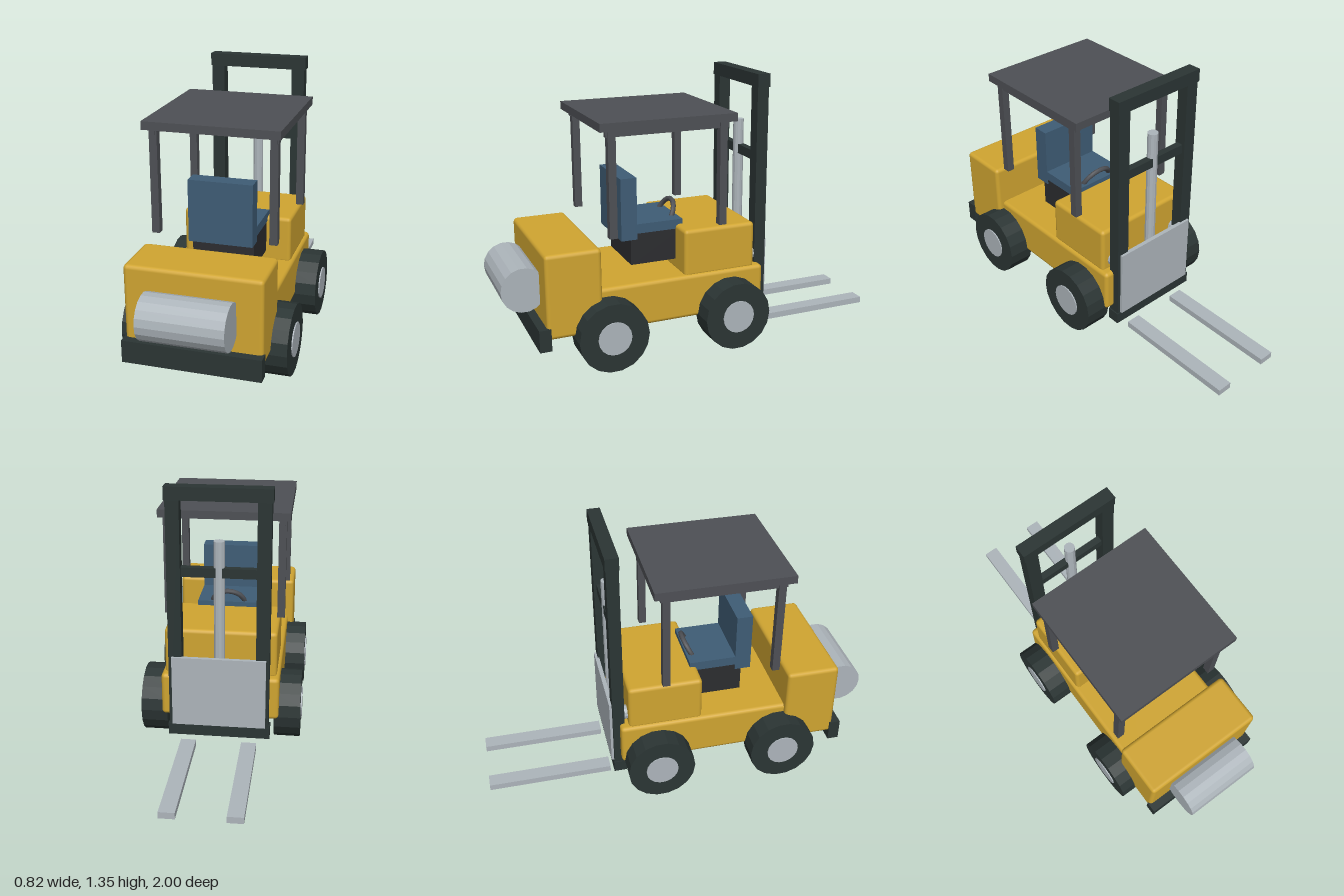
import * as THREE from 'three';
import { RoundedBoxGeometry } from 'three/addons/geometries/RoundedBoxGeometry.js';

const mat = (name, color, flatShading = false) =>
  Object.assign(new THREE.MeshStandardMaterial({ color, flatShading }), { name });

export function createModel() {
  const yellow = mat('bodyYellow', 0xd0a531);
  const black = mat('rubberBlack', 0x2b3534, true);
  const steel = mat('steel', 0xadb5bb, true);
  const grey = mat('frameGrey', 0x4e5055);
  const blue = mat('seatBlue', 0x3f5d76);
  const dark = mat('seatBaseDark', 0x2c2d30);

  const model = new THREE.Group();
  model.name = 'forklift';

  const add = (name, geometry, material, parent = model) => {
    const mesh = new THREE.Mesh(geometry, material);
    mesh.name = name;
    parent.add(mesh);
    return mesh;
  };
  // Boxes are given by their extents: [min, max] on each axis
  const place = (mesh, ...r) => mesh.position.set(...r.map(([a, b]) => (a + b) / 2));
  const box = (name, x, y, z, material) => {
    const mesh = add(name, new THREE.BoxGeometry(x[1] - x[0], y[1] - y[0], z[1] - z[0]), material);
    place(mesh, x, y, z);
    return mesh;
  };
  const rounded = (name, x, y, z) => {
    const geometry = new RoundedBoxGeometry(x[1] - x[0], y[1] - y[0], z[1] - z[0], 2, 0.02);
    place(add(name, geometry, yellow), x, y, z);
  };
  const wide = (w) => [-w, w];
  const around = (c, w) => [c - w / 2, c + w / 2];

  // Body
  rounded('chassis', wide(0.295), [0.163, 0.385], [-0.316, 0.70]);
  rounded('hood', wide(0.28), [0.37, 0.613], [-0.272, 0.107]);
  rounded('counterweight', wide(0.325), [0.18, 0.597], [0.545, 0.817]);
  box('bumper', wide(0.33), [0.13, 0.24], [0.80, 0.858], black);

  // Gas tank lying across the counterweight
  const tank = add('gasTank', new THREE.CylinderGeometry(0.11, 0.11, 0.405, 18), steel);
  tank.rotation.z = Math.PI / 2;
  tank.position.set(0, 0.40, 0.89);

  // Wheels
  for (const side of [-1, 1]) {
    for (const z of [-0.13, 0.515]) {
      const wheel = new THREE.Group();
      wheel.name = 'wheel';
      wheel.position.set(side * 0.336, 0.173, z);
      wheel.rotation.z = -side * Math.PI / 2;
      add('tyre', new THREE.CylinderGeometry(0.173, 0.173, 0.132, 18), black, wheel);
      add('hub', new THREE.CylinderGeometry(0.083, 0.083, 0.144, 18), steel, wheel);
      model.add(wheel);
    }
  }

  // Seat and steering wheel
  box('seatBase', wide(0.155), [0.43, 0.59], [0.07, 0.343], dark);
  box('seatCushion', wide(0.16), [0.59, 0.638], [0.07, 0.32], blue);
  box('seatBackrest', wide(0.16), [0.56, 0.873], [0.31, 0.392], blue);
  const steering = add('steeringWheel', new THREE.TorusGeometry(0.085, 0.013, 8, 24), grey);
  steering.position.set(0, 0.622, 0.105);
  steering.rotation.x = -0.47;

  // Overhead guard
  box('roof', wide(0.325), [1.143, 1.183], [-0.145, 0.54], grey);
  for (const side of [-1, 1]) {
    const x = side * 0.286;
    box('roofRail', around(x, 0.026), [1.112, 1.138], [-0.112, 0.506], grey);
    for (const z of [-0.084, 0.478]) {
      box('roofPost', around(x, 0.038), [0.63, 1.143], around(z, 0.038), grey);
    }
  }

  // Mast
  const mastZ = [-0.35, -0.29];
  for (const side of [-1, 1]) {
    box('mastRail', around(side * 0.215, 0.066), [0.08, 1.34], mastZ, black);
    // Tilt cylinder between body and rail
    const tilt = add('tiltCylinder', new THREE.CylinderGeometry(0.037, 0.037, 0.1, 12), steel);
    tilt.rotation.x = Math.PI / 2;
    tilt.position.set(side * 0.21, 0.43, -0.255);
  }
  box('mastTopBeam', wide(0.254), [1.284, 1.348], [-0.354, -0.288], black);
  box('mastBottomBeam', wide(0.254), [0.075, 0.135], [-0.354, -0.288], black);
  box('mastCrossbar', wide(0.19), [0.91, 0.957], [-0.335, -0.30], black);
  const lift = add('liftCylinder', new THREE.CylinderGeometry(0.027, 0.027, 0.96, 12), steel);
  lift.position.set(0, 0.607, -0.313);

  // Carriage and forks
  box('carriagePlate', wide(0.232), [0.137, 0.50], [-0.363, -0.342], steel);
  for (const side of [-1, 1]) {
    box('fork', around(side * 0.152, 0.076), [0.022, 0.054], [-1.0, -0.365], steel);
  }
  return model;
}
